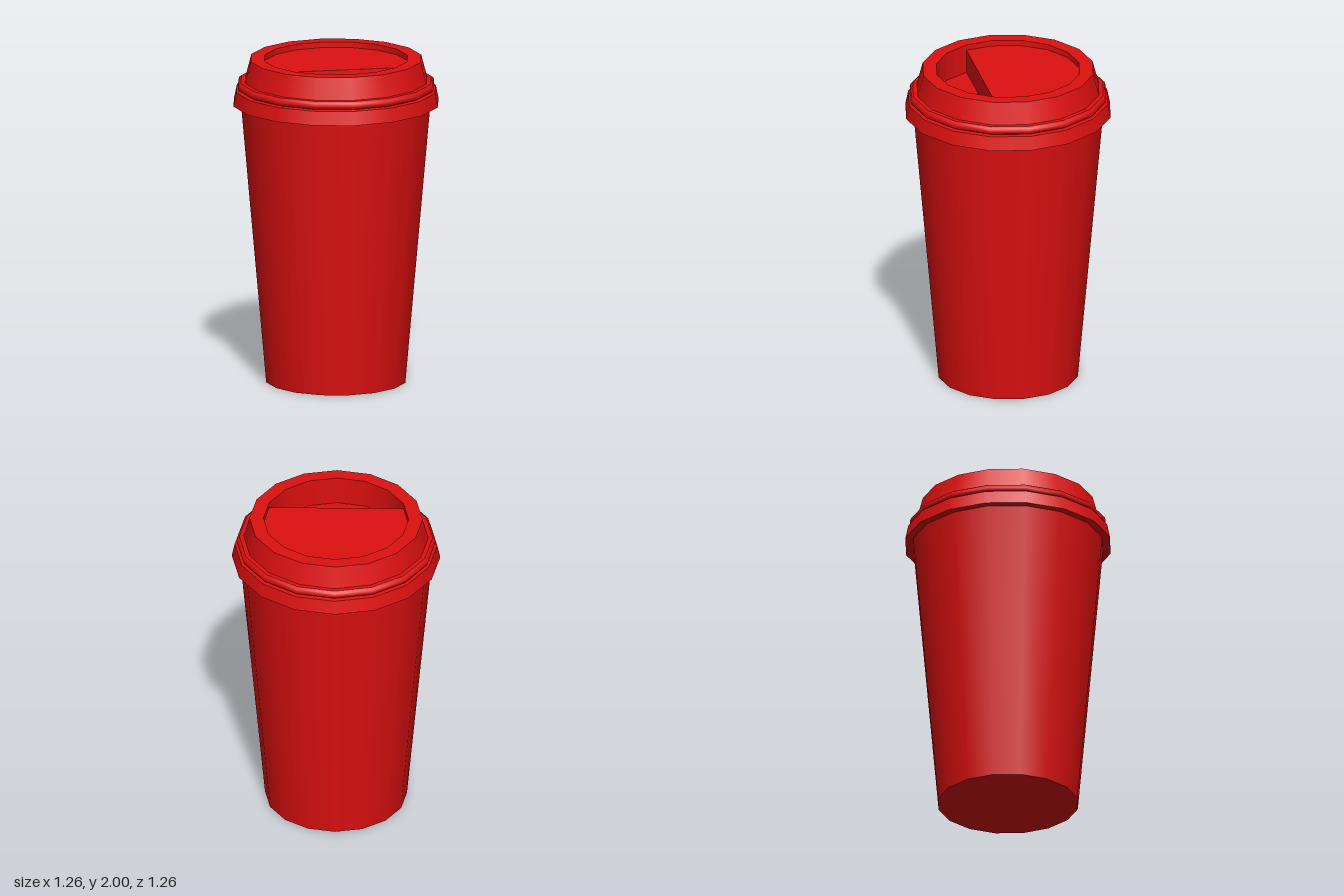
import * as THREE from 'three';

const SIDES = 16;
const STEP = (Math.PI * 2) / SIDES;
const RIM_Y = 2, FLOOR_Y = 1.965, WELL_Y = 1.82, INNER = 0.44;

export function createModel() {
  const cup = new THREE.Group();
  cup.name = 'lidded cup';
  const material = new THREE.MeshStandardMaterial({ color: 0xdd1010 });

  const add = (parent, name, geometry) => {
    const mesh = new THREE.Mesh(geometry, material);
    mesh.name = name;
    parent.add(mesh);
    return mesh;
  };
  // One smooth band turned around y; separate bands keep the edges between them sharp
  const band = (parent, name, points, first = 0, count = SIDES) =>
    add(parent, name, new THREE.LatheGeometry(
      points.map(([r, y]) => new THREE.Vector2(r, y)), count, first * STEP, count * STEP));

  // Tapered paper body
  const body = new THREE.Group();
  body.name = 'body';
  cup.add(body);
  band(body, 'base', [[0, 0], [0.43, 0]]);
  band(body, 'wall', [[0.43, 0], [0.584, 1.725]]);

  // Lid: skirt, rounded bead and raised collar
  const lid = new THREE.Group();
  lid.name = 'lid';
  cup.add(lid);
  band(lid, 'skirtUnderside', [[0.57, 1.725], [0.632, 1.725]]);
  band(lid, 'skirt', [[0.632, 1.725], [0.614, 1.81]]);
  band(lid, 'skirtLedge', [[0.614, 1.81], [0.588, 1.815]]);
  band(lid, 'bead', [[0.588, 1.815], [0.601, 1.823], [0.605, 1.838], [0.6, 1.855], [0.586, 1.865]]);
  band(lid, 'beadLedge', [[0.586, 1.865], [0.56, 1.866]]);
  band(lid, 'collar', [[0.56, 1.866], [0.525, RIM_Y]]);
  band(lid, 'rim', [[0.525, RIM_Y], [INNER, RIM_Y]]);

  // Recess in the top: shallow at the back, deep drinking well at the front
  band(lid, 'recessWall', [[INNER, RIM_Y], [INNER, FLOOR_Y]], 3, 10);
  band(lid, 'wellWall', [[INNER, RIM_Y], [INNER, WELL_Y]], -3, 6);

  // Flat floor spanning the rim corners from first to last
  const floor = (name, y, first, last) => {
    const points = [];
    for (let k = first; k <= last; k++) {
      points.push(new THREE.Vector2(INNER * Math.cos(k * STEP), INNER * Math.sin(k * STEP)));
    }
    const mesh = add(lid, name, new THREE.ShapeGeometry(new THREE.Shape(points)).rotateX(-Math.PI / 2));
    mesh.position.y = y;
  };
  floor('recessFloor', FLOOR_Y, -1, 9);
  floor('wellFloor', WELL_Y, 9, 15);

  const step = add(lid, 'wellStep',
    new THREE.PlaneGeometry(2 * INNER * Math.cos(STEP), FLOOR_Y - WELL_Y));
  step.position.set(0, (FLOOR_Y + WELL_Y) / 2, INNER * Math.sin(STEP));

  return cup;
}
